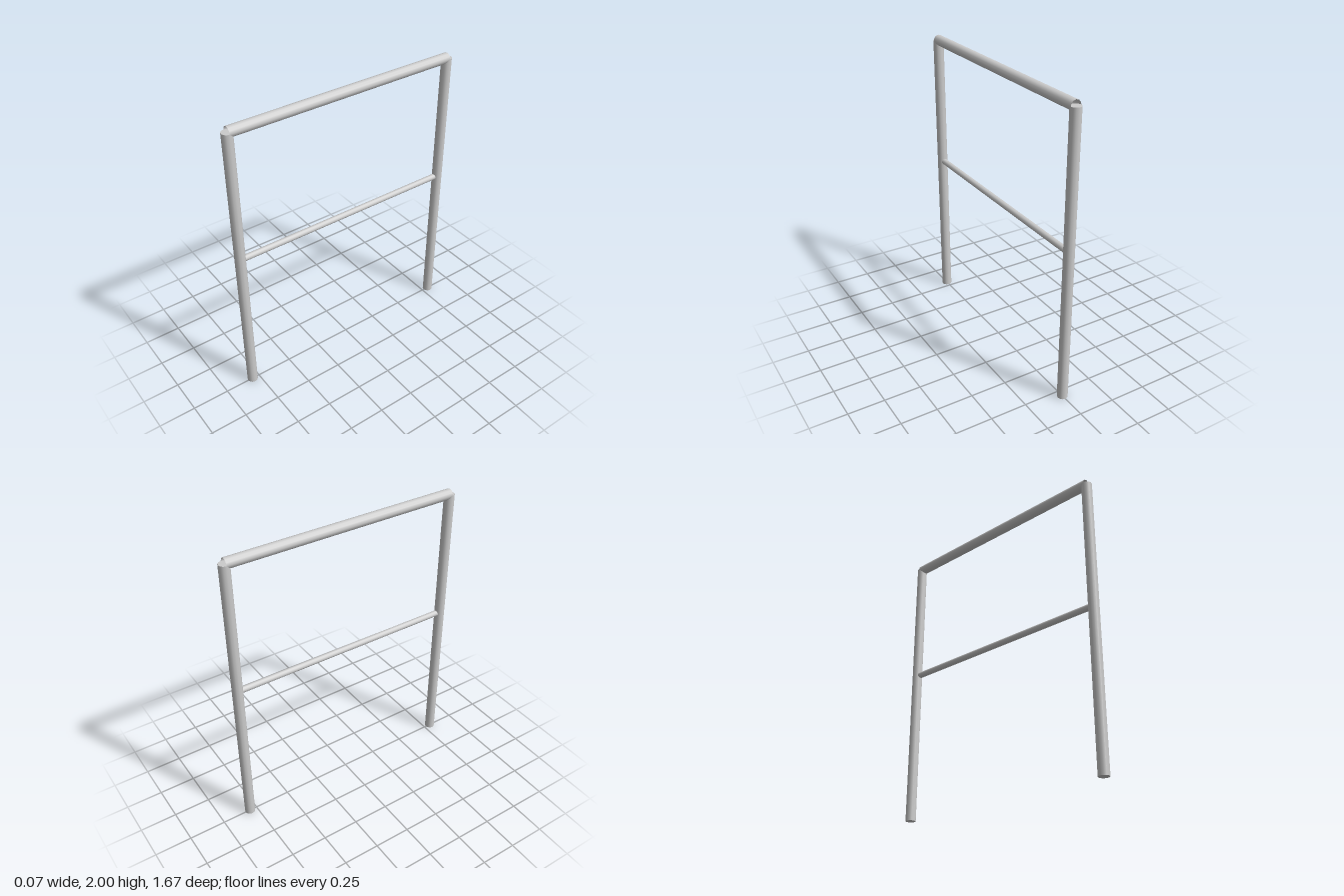
import * as THREE from 'three';

const RADIUS = 0.0352;
const RAIL_Y = 1.965;
const HALF_SPAN = 0.8;

const material = new THREE.MeshStandardMaterial({ color: 0xcccccc, side: THREE.DoubleSide });

function tube(name, radius, length, open) {
  const geometry = new THREE.CylinderGeometry(radius, radius, length, 12, 1, open);
  const mesh = new THREE.Mesh(geometry, material);
  mesh.name = name;
  return mesh;
}

export function createModel() {
  const group = new THREE.Group();
  group.name = 'handrail';

  // Upright posts at the front and back
  for (const side of [1, -1]) {
    const post = tube(side > 0 ? 'frontPost' : 'backPost', RADIUS, RAIL_Y, false);
    post.position.set(0, RAIL_Y / 2, side * HALF_SPAN);
    group.add(post);
  }

  // Open-ended top rail, and a thinner rail halfway up
  for (const [name, radius, y] of [['topRail', RADIUS, RAIL_Y], ['midRail', 0.021, 1.065]]) {
    const rail = tube(name, radius, HALF_SPAN * 2, true);
    rail.rotation.x = Math.PI / 2;
    rail.position.y = y;
    group.add(rail);
  }

  return group;
}
